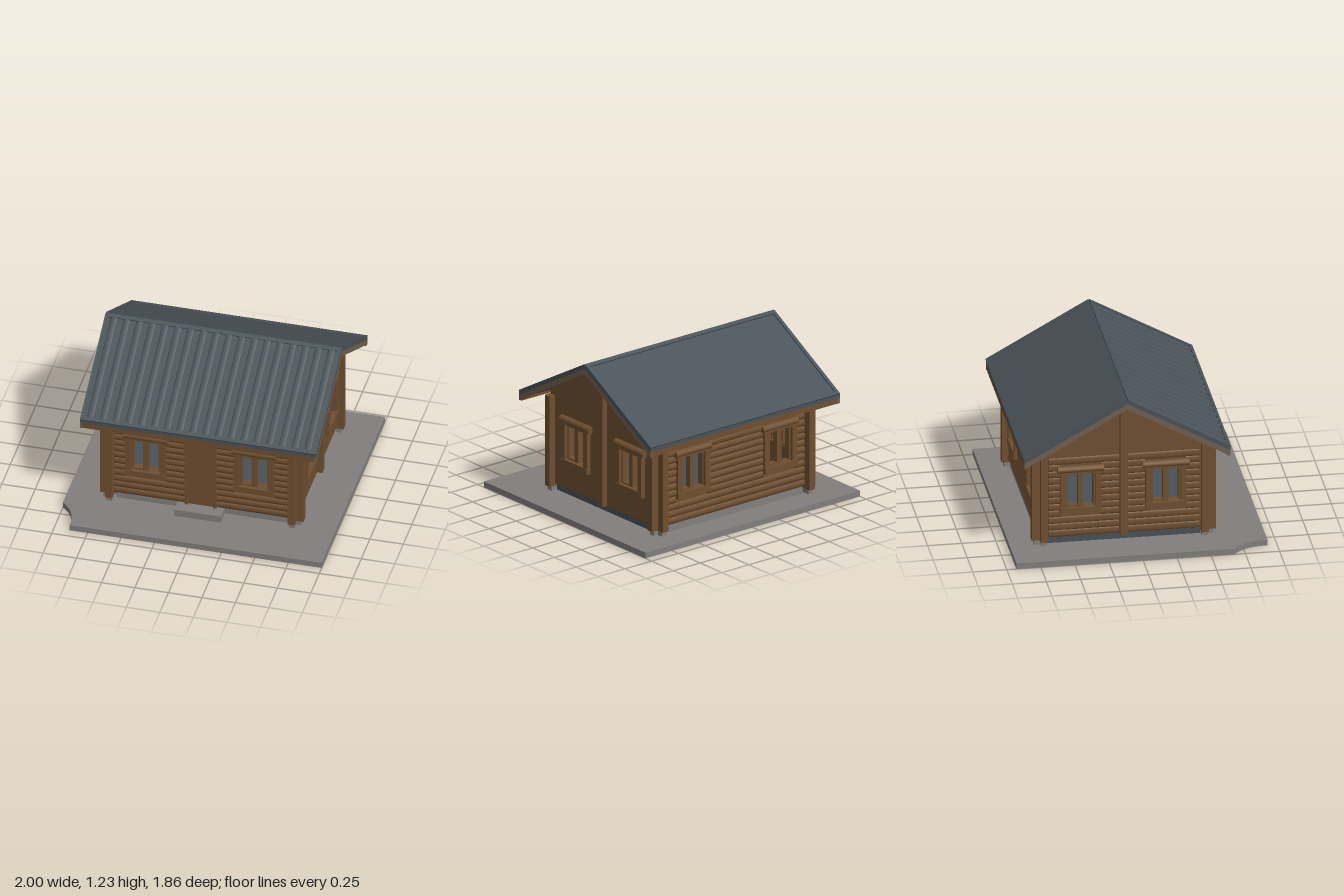
import * as THREE from 'three';

const mat = (name, color) => Object.assign(new THREE.MeshStandardMaterial({ color }), { name });

export function createModel() {
  const wood = mat('brown timber', 0x6f4f30);
  const slate = mat('slate roof', 0x485258);
  const stone = mat('grey stone', 0x827e7e);
  const taupe = mat('taupe edge board', 0x70604f);
  const house = new THREE.Group();
  house.name = 'logCabin';

  const add = (parent, name, geo, material, x = 0, y = 0, z = 0) => {
    const m = new THREE.Mesh(geo, material);
    m.name = name;
    m.position.set(x, y, z);
    parent.add(m);
    return m;
  };
  // Box given by its limits
  const box = (parent, name, material, x0, x1, y0, y1, z0, z1) =>
    add(parent, name, new THREE.BoxGeometry(x1 - x0, y1 - y0, z1 - z0), material,
      (x0 + x1) / 2, (y0 + y1) / 2, (z0 + z1) / 2);
  const poly = (pts) => new THREE.Shape(pts.map(([x, y]) => new THREE.Vector2(x, y)));
  const extrude = (shape, depth) =>
    new THREE.ExtrudeGeometry(shape, { depth, bevelEnabled: false, curveSegments: 8 });

  // Roof line
  const ridgeZ = -0.095, ridgeY = 1.222, slope = 0.56, reach = 0.755;
  const roofY = (z) => ridgeY - slope * Math.abs(z - ridgeZ);

  // Ground slab with a worn front corner
  const slab = new THREE.Shape();
  slab.moveTo(-1, 0.93);
  slab.lineTo(-1, -0.67);
  slab.quadraticCurveTo(-0.88, -0.76, -0.885, -0.93);
  slab.lineTo(1, -0.93);
  slab.lineTo(1, 0.93);
  add(house, 'groundSlab', extrude(slab, 0.045), stone).rotation.x = -Math.PI / 2;

  // Plinth, floor and step
  box(house, 'floor', slate, -0.69, 0.69, 0.045, 0.105, -0.67, 0.47);
  box(house, 'frontPlinth', stone, -0.64, 0.64, 0.045, 0.1, 0.47, 0.51);
  box(house, 'backPlinth', stone, -0.64, 0.64, 0.045, 0.1, -0.71, -0.67);
  box(house, 'doorStep', stone, -0.18, 0.17, 0.045, 0.1, 0.5, 0.63);

  // Window casing, sash and mullion; (0, 0) is the middle of the opening
  function addWindow(parent, x, wide) {
    const w = new THREE.Group();
    w.name = 'window';
    w.position.set(x, 0.472, 0);
    parent.add(w);
    for (const s of [-1, 1]) {
      const cx = s * 0.128;
      box(w, 'casingSide', wood, cx - 0.022, cx + 0.022, -0.18, 0.14, -0.05, 0.035);
      const ix = s * 0.054;
      box(w, 'sashStile', wood, s * 0.1 - 0.006, s * 0.1 + 0.006, -0.13, 0.13, -0.04, 0.01);
      box(w, 'sashRail', wood, ix - 0.05, ix + 0.05, s * 0.13 - 0.006, s * 0.13 + 0.006, -0.04, 0.01);
    }
    box(w, 'mullion', wood, -0.02, 0.02, -0.135, 0.135, -0.035, 0.012);
    box(w, 'sill', wood, -0.152, 0.152, -0.18, -0.135, -0.05, 0.04);
    const lintel = add(w, 'lintel', new THREE.CylinderGeometry(0.028, 0.028, wide, 12), wood, 0, 0.163, 0.012);
    lintel.rotation.z = Math.PI / 2;
    box(w, 'headBoard', wood, -wide / 2 + 0.01, wide / 2 - 0.01, 0.132, 0.165, -0.05, 0.034);
  }

  // One wall, built facing +z with its outer surface at local z = 0, then turned
  function addFacade(o) {
    const f = new THREE.Group();
    f.name = o.name;
    f.rotation.y = o.turn;
    f.position.set(...o.at);
    house.add(f);

    const shape = poly(o.outline);
    for (const x of o.windows) {
      shape.holes.push(new THREE.Path([[-0.106, 0.337], [-0.106, 0.607], [0.106, 0.607], [0.106, 0.337]]
        .map(([dx, y]) => new THREE.Vector2(x + dx, y))));
    }
    add(f, 'wallPanel', extrude(shape, 0.05), wood, 0, 0, -0.05);
    o.windows.forEach((x) => addWindow(f, x, o.lintel));

    // Rounded logs, cut where a window, door or post stands
    const blocks = [...o.windows.map((x) => [x - 0.15, x + 0.15, 0.29, 0.66]), ...(o.blocks || [])];
    for (let i = 0; i < (o.rows || 0); i++) {
      const y = 0.128 + i * 0.052;
      let start = o.logs[0];
      const cuts = blocks.filter((b) => y > b[2] - 0.015 && y < b[3] + 0.015).sort((a, b) => a[0] - b[0]);
      for (const [a, b] of [...cuts, [o.logs[1], 0]]) {
        if (a - start > 0.02) {
          const log = add(f, 'wallLog', new THREE.CylinderGeometry(0.027, 0.027, a - start, 10), wood, (a + start) / 2, y, 0);
          log.rotation.z = Math.PI / 2;
          log.scale.z = o.relief / 0.027;
        }
        start = b;
      }
    }
    return f;
  }

  // Long walls
  const longWall = [[-0.71, 0.1], [0.71, 0.1], [0.71, 0.8], [-0.71, 0.8]];
  const front = addFacade({
    name: 'frontWall', turn: 0, at: [0, 0, 0.52], outline: longWall, windows: [-0.415, 0.395],
    blocks: [[-0.115, 0.105, 0, 0.65]], rows: 12, logs: [-0.65, 0.65], relief: 0.016, lintel: 0.33,
  });
  box(front, 'door', wood, -0.11, 0.1, 0.1, 0.64, 0, 0.008);
  for (const x of [-0.112, 0.102]) box(front, 'doorJamb', wood, x - 0.012, x + 0.012, 0.1, 0.65, 0, 0.025);
  box(front, 'doorHead', wood, -0.124, 0.114, 0.635, 0.66, 0, 0.025);
  addFacade({
    name: 'backWall', turn: Math.PI, at: [0, 0, -0.71], outline: longWall, windows: [0.415, -0.395],
    rows: 12, logs: [-0.65, 0.65], relief: 0.016, lintel: 0.33,
  });

  // Gable walls with a tall centre post
  for (const side of [1, -1]) {
    const m = -side; // local x is m times world z
    const under = (z) => roofY(z) - 0.05;
    const pts = [[-0.71, 0.1], [0.52, 0.1], [0.52, under(0.52)], [ridgeZ, under(ridgeZ)], [-0.71, under(-0.71)]];
    const outline = pts.map(([z, y]) => [m * z, y]);
    const post = m * -0.1;
    const gable = addFacade({
      name: side > 0 ? 'leftGable' : 'rightGable', turn: side * Math.PI / 2, at: [side * 0.71, 0, 0],
      outline, windows: [m * 0.21, m * -0.415], lintel: 0.34,
      rows: side > 0 ? 0 : 12, blocks: [[post - 0.03, post + 0.03, 0, 2]], logs: [-0.65, 0.46], relief: 0.008,
    });
    box(gable, 'centrePost', wood, post - 0.028, post + 0.028, 0.1, 1.15, -0.04, 0.04);
  }

  // Crossing log ends at the corners, on small stone feet
  for (const s of [-1, 1]) {
    for (const [z, dir] of [[0.495, 1], [-0.685, -1]]) {
      box(house, 'cornerLogEnd', wood, s * 0.715 - 0.045, s * 0.715 + 0.045, 0.08, 0.78, z - 0.026, z + 0.026);
      const mid = z + dir * 0.04;
      box(house, 'cornerLogEnd', wood, s * 0.682 - 0.026, s * 0.682 + 0.026, 0.08, 0.755, mid - 0.045, mid + 0.045);
      box(house, 'cornerFoot', stone, s * 0.72 - 0.02, s * 0.72 + 0.02, 0.045, 0.085, z - 0.022, z + 0.022);
      box(house, 'cornerFoot', stone, s * 0.682 - 0.022, s * 0.682 + 0.022, 0.045, 0.085, mid - 0.03, mid + 0.03);
    }
  }

  // Roof layers: chevron section in (z, y) pushed along x
  const x0 = -0.875, x1 = 0.89, midX = (x0 + x1) / 2, width = x1 - x0;
  function addChevron(name, material, top, bottom, from, to, r = reach) {
    const drop = slope * r;
    const g = extrude(poly([
      [ridgeZ + r, ridgeY - drop - top], [ridgeZ, ridgeY - top], [ridgeZ - r, ridgeY - drop - top],
      [ridgeZ - r, ridgeY - drop - bottom], [ridgeZ, ridgeY - bottom], [ridgeZ + r, ridgeY - drop - bottom],
    ]), to - from);
    add(house, name, g, material, to, 0, 0).rotation.y = -Math.PI / 2;
  }
  addChevron('roofCovering', slate, 0, 0.025, x0, x1);
  addChevron('roofDeck', wood, 0.025, 0.06, x0 + 0.008, x1 - 0.008, reach - 0.005);
  addChevron('bargeBoard', taupe, 0.025, 0.07, x0, x0 + 0.02);
  addChevron('bargeBoard', taupe, 0.025, 0.07, x1 - 0.02, x1);
  addChevron('ceiling', slate, 0.06, 0.066, -0.66, 0.66, 0.56);

  // Eave boards, edge trim and front ribs
  const angle = Math.atan(slope), len = reach / Math.cos(angle);
  for (const s of [1, -1]) {
    const edge = ridgeZ + s * (reach - 0.012);
    box(house, 'eaveBoard', wood, x0 + 0.004, x1 - 0.004, 0.73, 0.775, edge - 0.01, edge + 0.01);
    const p = new THREE.Group();
    p.name = s > 0 ? 'frontRoofSlope' : 'backRoofSlope';
    p.position.set(midX, ridgeY - slope * reach / 2, ridgeZ + s * reach / 2);
    p.rotation.x = s * angle;
    house.add(p);
    for (const e of [-1, 1]) {
      const x = e * (width / 2 - 0.014), z = e * (len / 2 - 0.014);
      box(p, 'sideTrim', slate, x - 0.014, x + 0.014, -0.005, 0.009, -len / 2, len / 2);
      box(p, 'endTrim', slate, -width / 2, width / 2, -0.005, 0.009, z - 0.014, z + 0.014);
    }
    if (s > 0) {
      for (let i = 0; i < 18; i++) {
        const rib = add(p, 'roofRib', new THREE.CylinderGeometry(0.026, 0.026, len - 0.05, 12), slate,
          -width / 2 + 0.07 + i * (width - 0.14) / 17, 0, 0);
        rib.rotation.x = Math.PI / 2;
        rib.scale.z = 0.32;
      }
    }
  }
  return house;
}
